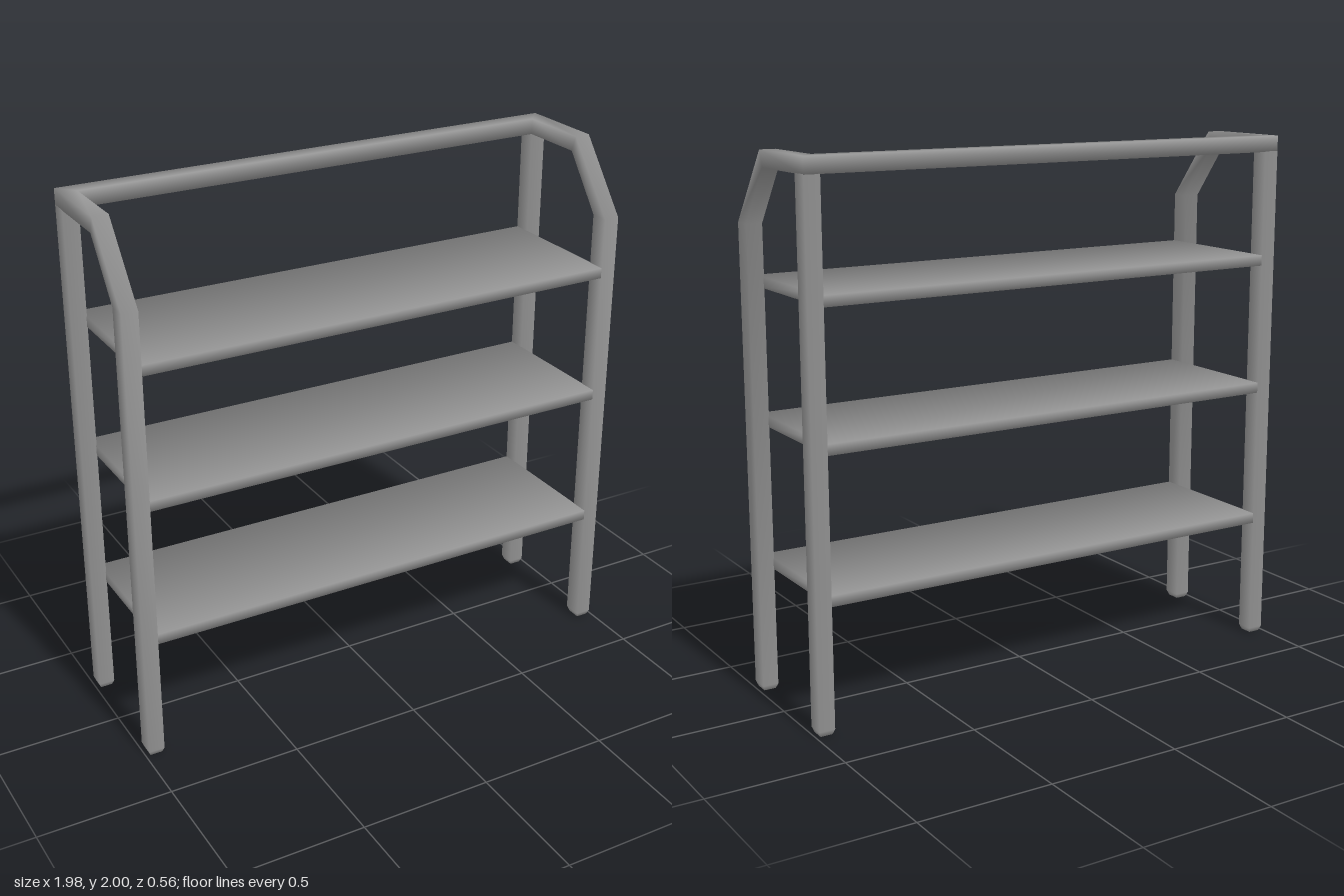
import * as THREE from 'three';

const CORNERS = [[1, 1], [-1, 1], [-1, -1], [1, -1]];

// Loft a square tube through rings: centre c, half axes u and v, scale s,
// normal tilt t, and nv as the shading direction along v. Normals point out of the corners.
function loft(rings) {
  const pos = [], nor = [], index = [];
  const vec = (a) => new THREE.Vector3(...a);
  for (const { c, u, v, s = 1, t = [0, 0, 0], nv = v } of rings) {
    for (const [a, b] of CORNERS) {
      const p = vec(c).addScaledVector(vec(u), a * s).addScaledVector(vec(v), b * s);
      const n = vec(t);
      if (s > 0) n.addScaledVector(vec(u).normalize(), a).addScaledVector(vec(nv).normalize(), b);
      pos.push(...p.toArray());
      nor.push(...n.normalize().toArray());
    }
  }
  for (let i = 0; i < rings.length - 1; i++) {
    for (let j = 0; j < 4; j++) {
      const a = i * 4 + j, b = i * 4 + (j + 1) % 4;
      index.push(a, a + 4, b, b, a + 4, b + 4);
    }
  }
  const geo = new THREE.BufferGeometry();
  geo.setAttribute('position', new THREE.Float32BufferAttribute(pos, 3));
  geo.setAttribute('normal', new THREE.Float32BufferAttribute(nor, 3));
  geo.setIndex(index);
  return geo;
}

// Leg foot: closed base, small bevel, then the full section
function foot(x, z, u, v) {
  const down = [0, -1, 0];
  return [
    { c: [x, 0, z], u, v, s: 0, t: down },
    { c: [x, 0, z], u, v, s: 0.75, t: down },
    { c: [x, 0.02, z], u, v },
  ];
}

export function createModel() {
  const group = new THREE.Group();
  const material = new THREE.MeshStandardMaterial({ color: 0x999999 });
  const add = (name, geo) => {
    const mesh = new THREE.Mesh(geo, material);
    mesh.name = name;
    group.add(mesh);
    return mesh;
  };

  const X = 0.96, R = 0.03, ZF = 0.243, ZB = -0.245;

  // Bent rail: front leg, slanted shoulder, side bar and mitred rear corner, on one side
  const half = (s) => {
    const u = [s * R, 0, 0], v = [0, 0, 0.036];
    return [
      ...foot(s * X, ZF, u, v),
      { c: [s * X, 1.735, ZF], u, v, nv: [0, 0.32, 0.95] },
      { c: [s * X, 1.97, 0.06], u, v: [0, R, 0.01] },
      { c: [s * X, 1.97, ZB], u: [s * R, 0, -0.033], v: [0, R, 0] },
    ];
  };
  add('bentRail', loft([...half(1), ...half(-1).reverse()]));

  // Rear posts, ending under the rail
  for (const s of [1, -1]) {
    const u = [R, 0, 0], v = [0, 0, 0.033];
    add(s > 0 ? 'leftRearPost' : 'rightRearPost',
      loft([...foot(s * X, ZB, u, v), { c: [s * X, 1.942, ZB], u, v }]));
  }

  // Shelves with normals pointing out of the corners for soft shading
  const shelf = new THREE.BoxGeometry(1.864, 0.04, 0.555);
  const p = shelf.attributes.position, k = Math.sqrt(1 / 3);
  for (let i = 0; i < p.count; i++) {
    shelf.attributes.normal.setXYZ(i,
      k * Math.sign(p.getX(i)), k * Math.sign(p.getY(i)), k * Math.sign(p.getZ(i)));
  }
  for (const y of [0.488, 1.022, 1.525]) add('shelf', shelf).position.y = y;
  return group;
}
